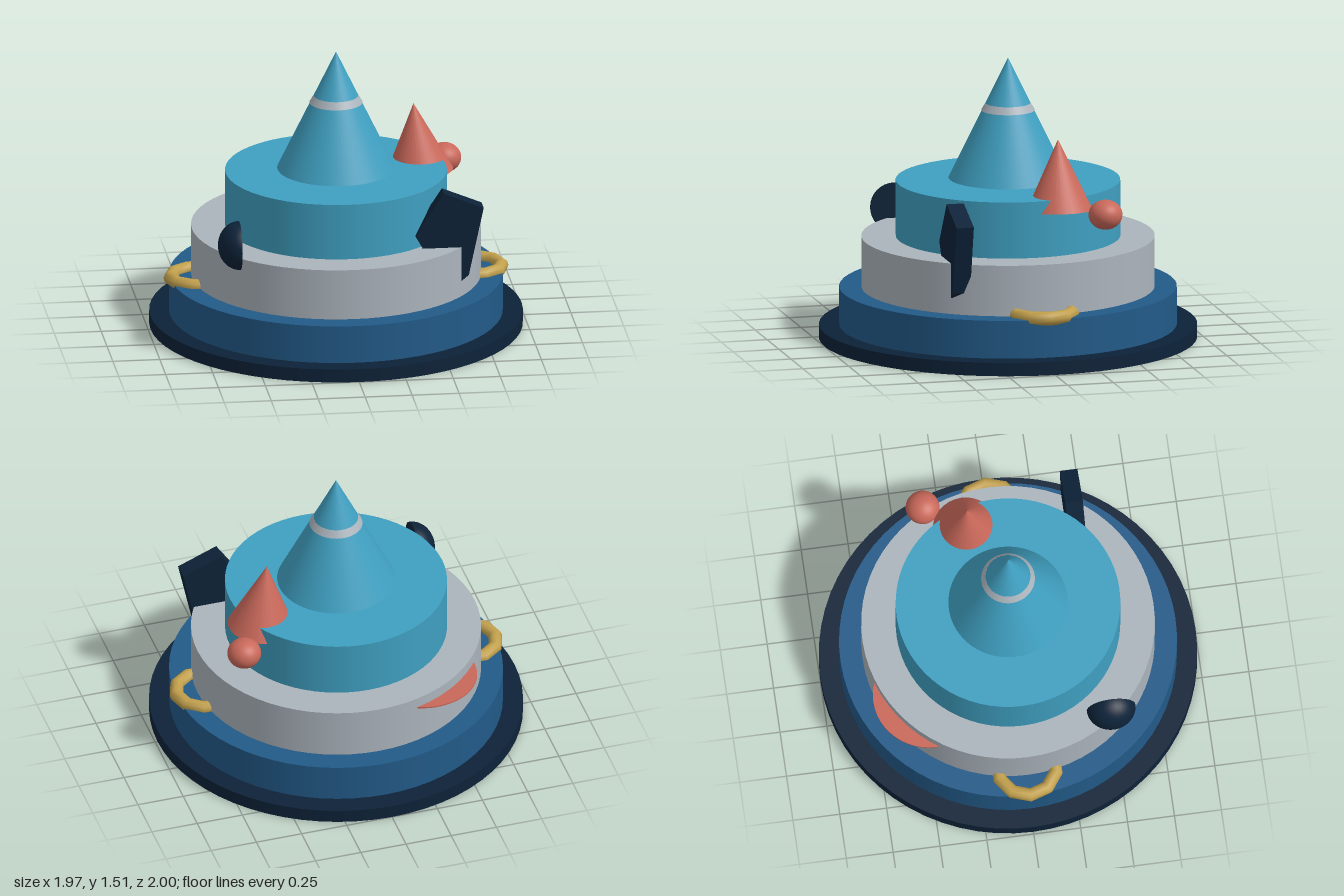
import * as THREE from 'three';

const paint = (name, color) => {
  const m = new THREE.MeshStandardMaterial({ color, side: THREE.DoubleSide });
  m.name = name;
  return m;
};

export function createModel() {
  const navy = paint('navy', 0x0d2238);
  const blue = paint('blue', 0x225a88);
  const silver = paint('silver', 0xabb4bc);
  const teal = paint('teal', 0x3f9fc0);
  const coral = paint('coral', 0xc9685a);
  const gold = paint('gold', 0xc2a04c);

  const model = new THREE.Group();
  model.name = 'tieredTower';
  const add = (name, geometry, material, x = 0, y = 0, z = 0) => {
    const mesh = new THREE.Mesh(geometry, material);
    mesh.name = name;
    mesh.position.set(x, y, z);
    model.add(mesh);
    return mesh;
  };

  // Round tiers and spire: [name, bottom radius, top radius, bottom y, top y, material]
  const tiers = [
    ['basePlate', 1.0, 1.0, 0, 0.072, navy],
    ['lowerTier', 0.893, 0.893, 0.072, 0.276, blue],
    ['middleTier', 0.776, 0.776, 0.276, 0.549, silver],
    ['upperTier', 0.594, 0.594, 0.549, 0.852, teal],
    ['spire', 0.315, 0, 0.863, 1.508, teal],
    ['spireBand', 0.142, 0.119, 1.227, 1.265, silver],
  ];
  for (const [name, r0, r1, y0, y1, material] of tiers) {
    const tier = add(name, new THREE.CylinderGeometry(r1, r0, y1 - y0, 64), material, 0, (y0 + y1) / 2, 0);
    tier.scale.x = 0.987;
  }

  // Ring handles, half sunk into the middle tier
  for (const side of [-1, 1]) {
    const ring = new THREE.TorusGeometry(0.156, 0.037, 10, 10).rotateX(Math.PI / 2);
    if (side < 0) ring.rotateY(Math.PI);
    add(side > 0 ? 'leftHandle' : 'rightHandle', ring, gold, side * 0.725, 0.282, 0);
  }

  // Leaning cone on the rim of the upper tier, with a ball beside it
  const coneHeight = 0.378;
  const cone = add('leaningCone',
    new THREE.ConeGeometry(0.177, coneHeight, 32).translate(0, coneHeight / 2, 0), coral, 0.465, 0.772, -0.16);
  cone.rotation.z = 0.087;
  add('ball', new THREE.SphereGeometry(0.09, 32, 20).scale(1, 0.88, 1), coral, 0.622, 0.77, -0.37);

  // Flat disc sticking out of the back of the middle tier
  add('backDisc', new THREE.CylinderGeometry(0.295, 0.295, 0.008, 48), coral, -0.327, 0.488, -0.468);

  // Half dome facing the right side, closed by a flat disc
  const dome = new THREE.SphereGeometry(0.13, 32, 16, 0, Math.PI * 2, 0, Math.PI / 2)
    .rotateZ(Math.PI / 2).scale(0.885, 1, 1);
  add('sideDome', dome, navy, -0.571, 0.608, 0.471);
  add('sideDomeFace', new THREE.CircleGeometry(0.13, 32).rotateY(Math.PI / 2), navy, -0.571, 0.608, 0.471);

  // Angular slab at the front left
  const outline = [[0.364, 0.62], [0.4, 0.557], [0.47, 0.36], [0.612, 0.362],
    [0.649, 0.393], [0.728, 0.763], [0.517, 0.85]];
  const slab = new THREE.Shape(outline.map(([x, y]) => new THREE.Vector2(x, y)));
  add('angularSlab', new THREE.ExtrudeGeometry(slab, { depth: 0.094, bevelEnabled: false }), navy, 0, 0, 0.376);

  return model;
}
